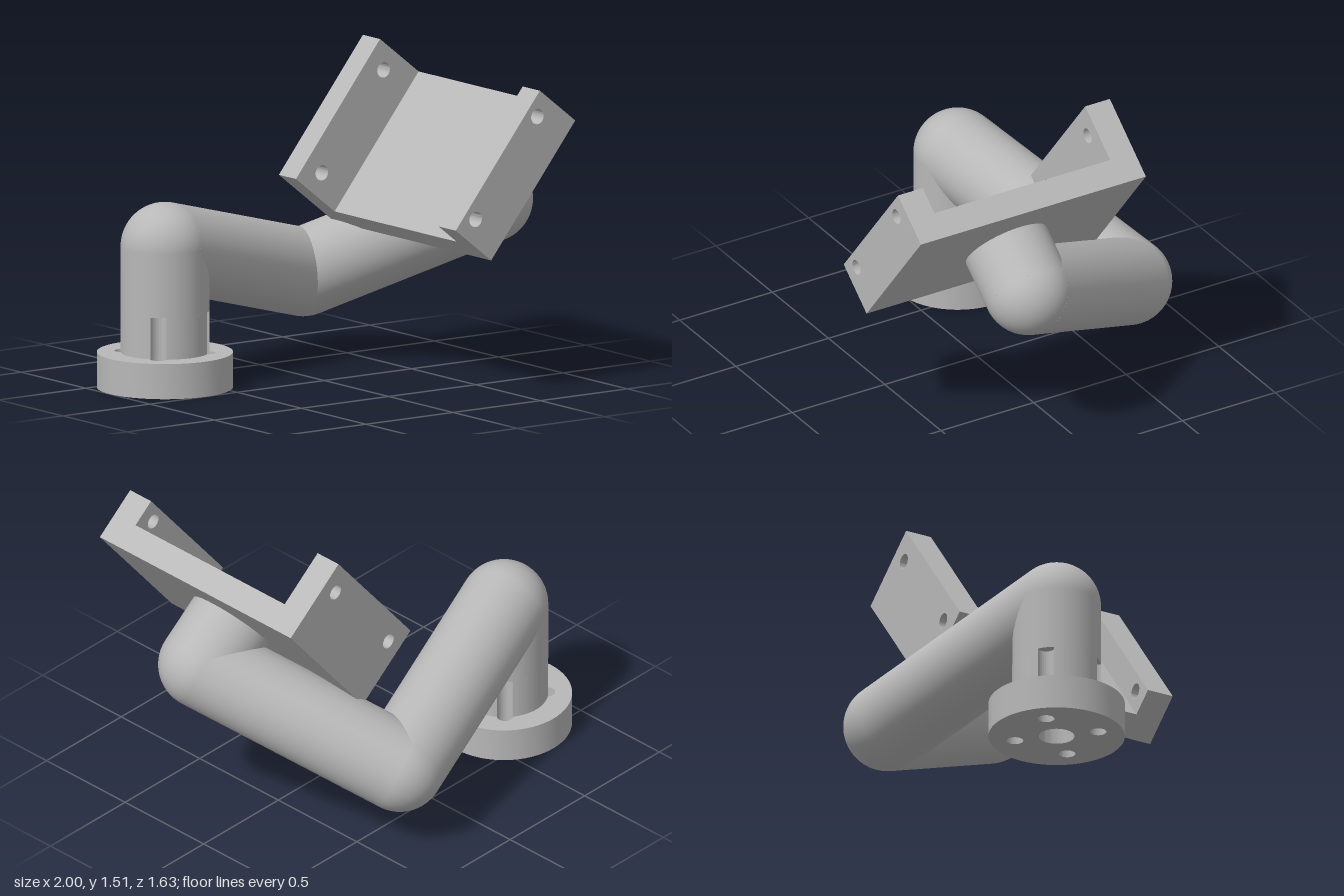
import * as THREE from 'three';
import { toCreasedNormals } from 'three/addons/utils/BufferGeometryUtils.js';

const R = 0.205;          // tube radius
const BOLT = 0.14;        // bolt offset from the base axis in x and z
const BOLT_R = 0.038;
const BORE_R = 0.082;

export function createModel() {
  const model = new THREE.Group();
  const grey = new THREE.MeshStandardMaterial({ color: 0xb8b8b8 });
  grey.name = 'plain grey';

  function add(parent, name, geometry) {
    const mesh = new THREE.Mesh(geometry, grey);
    mesh.name = name;
    parent.add(mesh);
    return mesh;
  }

  function circleHole(x, y, r) {
    return new THREE.Path().absarc(x, y, r, 0, Math.PI * 2, true);
  }

  function extrude(shape, depth) {
    const g = new THREE.ExtrudeGeometry(shape, { depth, bevelEnabled: false, curveSegments: 32 });
    return toCreasedNormals(g, 0.6);
  }

  // Straight round tube between two points
  function tube(name, a, b) {
    const dir = b.clone().sub(a);
    const mesh = add(model, name, new THREE.CylinderGeometry(R, R, dir.length(), 64));
    mesh.position.copy(a).addScaledVector(dir, 0.5);
    mesh.quaternion.setFromUnitVectors(new THREE.Vector3(0, 1, 0), dir.normalize());
  }

  // Joint centres along the arm
  const shoulder = new THREE.Vector3(-0.685, 0.66, -0.31);
  const elbow = new THREE.Vector3(0.33, 0.382, -0.612);
  const wrist = new THREE.Vector3(0.79, 0.8, 0.207);

  // Base flange with centre bore and four bolt holes
  const base = new THREE.Group();
  base.name = 'base';
  base.position.set(shoulder.x, 0, shoulder.z);
  model.add(base);
  const disc = new THREE.Shape().absarc(0, 0, 0.315, 0, Math.PI * 2, false);
  disc.holes.push(circleHole(0, 0, BORE_R));
  for (const sx of [-1, 1]) for (const sy of [-1, 1]) {
    disc.holes.push(circleHole(sx * BOLT, sy * BOLT, BOLT_R));
  }
  add(base, 'flange', extrude(disc, 0.165).rotateX(-Math.PI / 2));

  // Lower post, notched around each bolt
  const post = new THREE.Shape();
  const d = BOLT * Math.SQRT2;
  const cosHalf = (R * R + d * d - BOLT_R * BOLT_R) / (2 * R * d);
  const half = Math.acos(cosHalf);
  const turn = Math.atan2(R * Math.sin(half), R * cosHalf - d);
  for (let k = 0; k < 4; k++) {
    const mid = Math.PI / 4 + k * Math.PI / 2;
    post.absarc(0, 0, R, mid - Math.PI / 2 + half, mid - half, false);
    post.absarc(d * Math.cos(mid), d * Math.sin(mid), BOLT_R, mid - turn, mid + turn, true);
  }
  post.holes.push(circleHole(0, 0, BORE_R));
  const notched = add(base, 'notchedPost', extrude(post, 0.195).rotateX(-Math.PI / 2));
  notched.position.y = 0.165;

  // Arm tubes and ball joints
  const bracketCentre = new THREE.Vector3(0.597, 0.948, 0.207);
  tube('upperPost', new THREE.Vector3(shoulder.x, 0.36, shoulder.z), shoulder);
  tube('upperArm', shoulder, elbow);
  tube('foreArm', elbow, wrist);
  tube('wristStub', wrist, bracketCentre);
  const joints = { shoulderJoint: shoulder, elbowJoint: elbow, wristJoint: wrist };
  for (const [name, p] of Object.entries(joints)) {
    add(model, name, new THREE.SphereGeometry(R, 64, 32)).position.copy(p);
  }

  // Bracket: local x runs along the plate, local y points away from the wrist
  const bracket = new THREE.Group();
  bracket.name = 'bracket';
  bracket.position.copy(bracketCentre);
  bracket.rotation.z = Math.atan2(0.605, 0.483);
  model.add(bracket);
  const length = 0.773, width = 1.215, cheek = 0.133;

  const plate = add(bracket, 'backPlate', new THREE.BoxGeometry(length, 0.127, width - 2 * cheek));
  plate.position.y = 0.0635;

  // Side cheek with two mounting holes
  function addCheek(name, height, holeY, z) {
    const s = new THREE.Shape();
    s.moveTo(-length / 2, 0);
    s.lineTo(length / 2, 0);
    s.lineTo(length / 2, height);
    s.lineTo(-length / 2, height);
    s.closePath();
    for (const side of [-1, 1]) s.holes.push(circleHole(side * 0.284, holeY, 0.036));
    add(bracket, name, extrude(s, cheek)).position.z = z;
  }
  addCheek('frontCheek', 0.26, 0.196, width / 2 - cheek);
  addCheek('rearCheek', 0.41, 0.302, -width / 2);

  return model;
}
